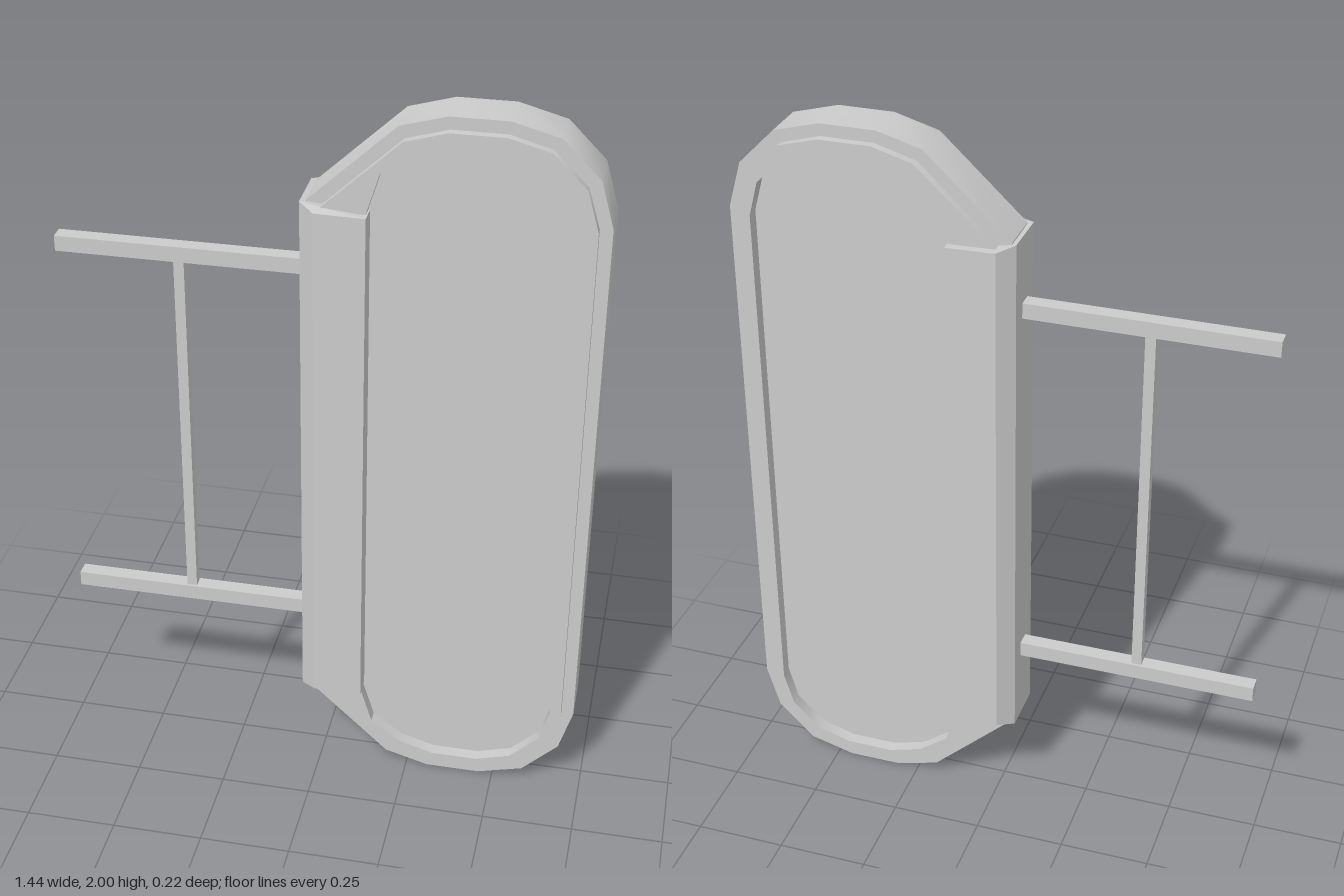
import * as THREE from 'three';
import { toCreasedNormals } from 'three/addons/utils/BufferGeometryUtils.js';

const MID = 1; // height of the horizontal mirror line

// Upper halves of the outlines, from the wall side over the top to the outer side
const RIM = [[-0.04, 1.75], [0.19, 1.966], [0.31, 2], [0.46, 2], [0.585, 1.966], [0.683, 1.868], [0.719, 1.745]];
const FRAME = [[-0.005, 1.738], [0.205, 1.935], [0.315, 1.967], [0.457, 1.967], [0.565, 1.937], [0.654, 1.849], [0.686, 1.741]];
const OPENING = [[0.117, 1.738], [0.15, 1.846], [0.232, 1.907], [0.326, 1.935], [0.456, 1.935], [0.549, 1.907], [0.628, 1.83], [0.654, 1.736]];

// Full counter-clockwise outline: the lower mirror image, then the upper half reversed
function outline(half) {
  const lower = half.map(([x, y]) => [x, 2 * MID - y]);
  return [...lower, ...[...half].reverse()].map(([x, y]) => new THREE.Vector2(x, y));
}

// Plate of the given half thickness, centred on z = 0
function plate(half, halfDepth, hole) {
  const shape = new THREE.Shape(outline(half));
  if (hole) shape.holes.push(new THREE.Path(outline(hole)));
  const geo = new THREE.ExtrudeGeometry(shape, { depth: halfDepth * 2, bevelEnabled: false });
  geo.translate(0, 0, -halfDepth);
  return toCreasedNormals(geo, 0.6);
}

// Chamfered channel that clasps the wall side, its ends sloping slightly
function spineGeometry() {
  const section = [[-0.054, -0.072], [-0.012, -0.11], [0.121, -0.11], [0.121, 0.11], [-0.012, 0.11], [-0.054, 0.072]];
  const shape = new THREE.Shape(section.map(([x, z]) => new THREE.Vector2(x, -z)));
  const geo = new THREE.ExtrudeGeometry(shape, { depth: 2, bevelEnabled: false });
  geo.translate(0, 0, -1);
  geo.rotateX(-Math.PI / 2);
  const p = geo.attributes.position;
  for (let i = 0; i < p.count; i++) {
    const x = p.getX(i);
    const reach = x < -0.03 ? 0.75 : x < 0.05 ? 0.738 : 0.735;
    p.setY(i, MID + Math.sign(p.getY(i)) * reach);
  }
  return toCreasedNormals(geo, 0.3);
}

export function createModel() {
  const group = new THREE.Group();
  const material = new THREE.MeshStandardMaterial({ color: 0xcccccc });
  const add = (name, geo, x = 0, y = 0, z = 0) => {
    const mesh = new THREE.Mesh(geo, material);
    mesh.name = name;
    mesh.position.set(x, y, z);
    group.add(mesh);
  };

  // Sign box: outer rim, raised frame on both faces, recessed panel
  add('outerRim', plate(RIM, 0.064, OPENING));
  add('faceFrame', plate(FRAME, 0.087, OPENING));
  add('signPanel', plate(OPENING, 0.052));
  add('spine', spineGeometry());

  // Wall bracket: two arms joined by an upright rod
  const armOffset = 0.533;
  const bracketY = MID + 0.012;
  for (const side of [1, -1]) {
    const name = side > 0 ? 'upperArm' : 'lowerArm';
    add(name, new THREE.BoxGeometry(0.679, 0.043, 0.043), -0.3795, bracketY + side * armOffset);
  }
  add('bracketRod', new THREE.BoxGeometry(0.028, armOffset * 2 - 0.04, 0.028), -0.388, bracketY);

  return group;
}
